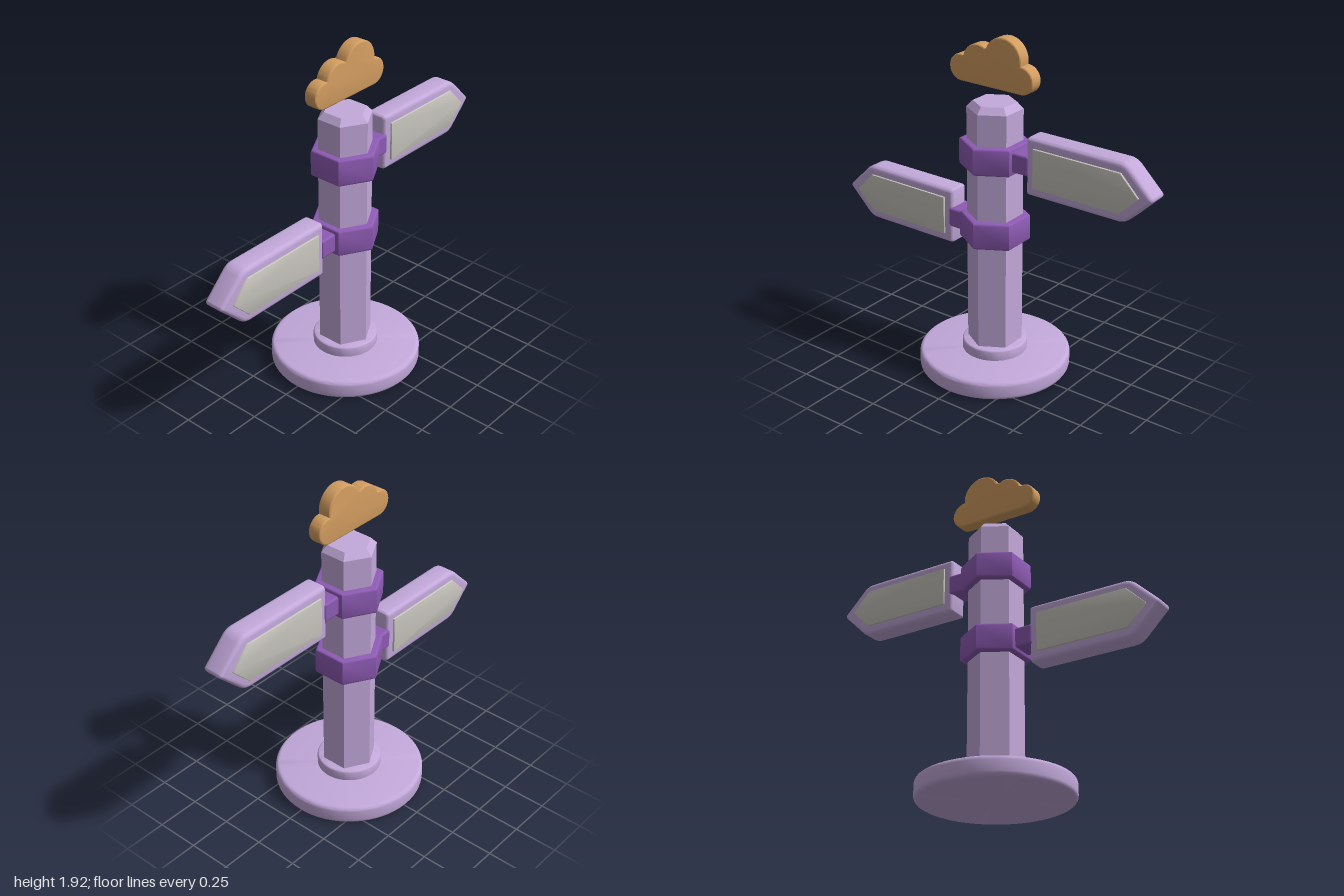
import * as THREE from 'three';
import { toCreasedNormals } from 'three/addons/utils/BufferGeometryUtils.js';
import { RoundedBoxGeometry } from 'three/addons/geometries/RoundedBoxGeometry.js';

const material = (name, color) => {
  const m = new THREE.MeshStandardMaterial({ color });
  m.name = name;
  return m;
};

function addMesh(parent, name, geometry, mat, x = 0, y = 0, z = 0) {
  const mesh = new THREE.Mesh(geometry, mat);
  mesh.name = name;
  mesh.position.set(x, y, z);
  parent.add(mesh);
  return mesh;
}

// Solid of revolution (or prism, with few sides) with softened rims
function roundedDisc(radius, y0, y1, bevel, sides) {
  const pts = [new THREE.Vector2(0, y0)];
  const steps = 4;
  for (const [cy, start] of [[y0 + bevel, -Math.PI / 2], [y1 - bevel, 0]]) {
    for (let i = 0; i <= steps; i++) {
      const a = start + (i / steps) * Math.PI / 2;
      pts.push(new THREE.Vector2(radius - bevel + bevel * Math.cos(a), cy + bevel * Math.sin(a)));
    }
  }
  pts.push(new THREE.Vector2(0, y1));
  return toCreasedNormals(new THREE.LatheGeometry(pts, sides), 0.6);
}

// Polygon whose corners [x, y, rounding] are softened
function roundedPolygon(corners) {
  const shape = new THREE.Shape();
  const n = corners.length;
  corners.forEach(([x, y, r], i) => {
    const p = new THREE.Vector2(x, y);
    const toward = ([qx, qy]) => new THREE.Vector2(qx, qy).sub(p).setLength(r).add(p);
    const a = toward(corners[(i + n - 1) % n]);
    const b = toward(corners[(i + 1) % n]);
    if (i === 0) shape.moveTo(a.x, a.y); else shape.lineTo(a.x, a.y);
    shape.quadraticCurveTo(x, y, b.x, b.y);
  });
  shape.closePath();
  return shape;
}

// Extrusion centred on z = 0, bevel kept inside the outline
function slab(shape, depth, bevel, segments = 4) {
  const g = new THREE.ExtrudeGeometry(shape, {
    depth: depth - 2 * bevel, bevelThickness: bevel, bevelSize: bevel,
    bevelOffset: -bevel, bevelSegments: segments, curveSegments: 12,
  });
  g.translate(0, 0, -depth / 2 + bevel);
  return toCreasedNormals(g, 0.6);
}

// Arrow outline pointing to +x
const arrow = (x0, shoulder, tip, h, r, rShoulder, rTip) => roundedPolygon([
  [x0, -h, r], [shoulder, -h, rShoulder], [tip, 0, rTip], [shoulder, h, rShoulder], [x0, h, r],
]);

function cloudShape() {
  const s = new THREE.Shape();
  const bottom = -Math.PI / 2;
  // lobes from right to left: centre, radius, and the point where each meets the next
  const lobes = [
    [0.19, 1.715, 0.075, 0.19, 1.79],
    [0.075, 1.805, 0.115, -0.03, 1.84],
    [-0.085, 1.76, 0.098, -0.18, 1.784],
    [-0.197, 1.713, 0.073, -0.197, 1.64],
  ];
  let from = [0.19, 1.64];
  for (const [x, y, r, ex, ey] of lobes) {
    const a0 = Math.atan2(from[1] - y, from[0] - x);
    const a1 = Math.atan2(ey - y, ex - x);
    s.absarc(x, y, r, a0, a1 <= a0 ? a1 + 2 * Math.PI : a1, false);
    from = [ex, ey];
  }
  s.closePath();
  return s;
}

export function createModel() {
  const lavender = material('lavender', 0xc3a9db);
  const purple = material('purple', 0x8e5bb4);
  const grey = material('warm grey', 0xc8c6be);
  const gold = material('golden tan', 0xd39d60);

  const model = new THREE.Group();
  model.name = 'signpost';

  // Foot
  addMesh(model, 'base', roundedDisc(0.42, 0, 0.107, 0.024, 64), lavender);
  addMesh(model, 'collar', roundedDisc(0.18, 0.09, 0.167, 0.012, 48), lavender);

  // Hexagonal post with chamfered top
  const postProfile = [[0, 0.15], [0.151, 0.15], [0.151, 1.525], [0.117, 1.56], [0, 1.56]]
    .map(([r, y]) => new THREE.Vector2(r, y));
  addMesh(model, 'post', toCreasedNormals(new THREE.LatheGeometry(postProfile, 6), 0.4), lavender);

  // Two arrow signs, each clamped to the post; the lower one is turned around
  for (const [name, y, turn] of [['upperSign', 1.275, 0], ['lowerSign', 0.85, Math.PI]]) {
    const sign = new THREE.Group();
    sign.name = name;
    sign.position.y = y;
    sign.rotation.y = turn;
    addMesh(sign, 'clamp', roundedDisc(0.191, -0.076, 0.076, 0.014, 6), purple);
    addMesh(sign, 'bracket', new RoundedBoxGeometry(0.13, 0.11, 0.14, 3, 0.012), purple, 0.2);
    addMesh(sign, 'board', slab(arrow(0.247, 0.843, 1.006, 0.16, 0.02, 0.04, 0.02), 0.13, 0.024), lavender);
    addMesh(sign, 'panel', slab(arrow(0.295, 0.822, 0.93, 0.11, 0.005, 0.005, 0.005), 0.152, 0.006, 2), grey);
    model.add(sign);
  }

  // Floating cloud
  addMesh(model, 'cloud', slab(cloudShape(), 0.076, 0.008, 3), gold);

  return model;
}
